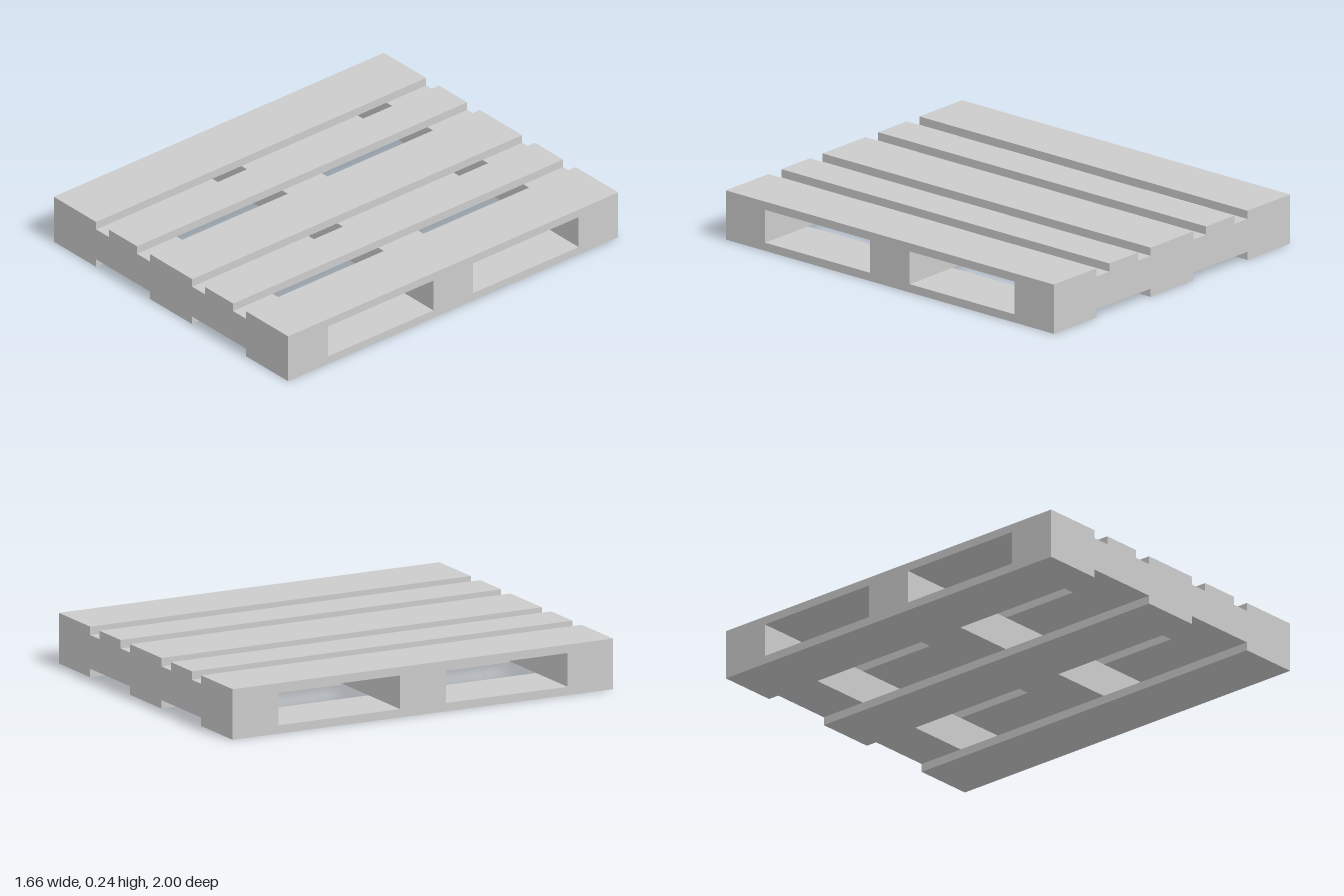
import * as THREE from 'three';

const HALF_X = 0.83, LENGTH = 2, BOARD = 0.04, BEAM_H = 0.16, BEAM_W = 0.24;

export function createModel() {
  const pallet = new THREE.Group();
  pallet.name = 'pallet';
  const material = new THREE.MeshStandardMaterial({ color: 0xcccccc, flatShading: true });

  function box(name, w, h, d, x, y, z) {
    const mesh = new THREE.Mesh(new THREE.BoxGeometry(w, h, d), material);
    mesh.name = name;
    mesh.position.set(x, y, z);
    pallet.add(mesh);
  }

  // Three solid cross beams between the decks
  const beamY = BOARD + BEAM_H / 2;
  const beamZ = (LENGTH - BEAM_W) / 2;
  box('backBeam', HALF_X * 2, BEAM_H, BEAM_W, 0, beamY, -beamZ);
  box('middleBeam', HALF_X * 2, BEAM_H, BEAM_W, 0, beamY, 0);
  box('frontBeam', HALF_X * 2, BEAM_H, BEAM_W, 0, beamY, beamZ);

  // Deck boards run front to back: wide outer and centre boards on both decks
  const topY = BOARD + BEAM_H + BOARD / 2;
  for (const x of [-0.68, 0, 0.68]) {
    box('topBoard', 0.3, BOARD, LENGTH, x, topY, 0);
    box('bottomBoard', 0.3, BOARD, LENGTH, x, BOARD / 2, 0);
  }

  // Narrow boards on the top deck only
  for (const x of [-0.34, 0.34]) box('narrowTopBoard', 0.2, BOARD, LENGTH, x, topY, 0);

  return pallet;
}
